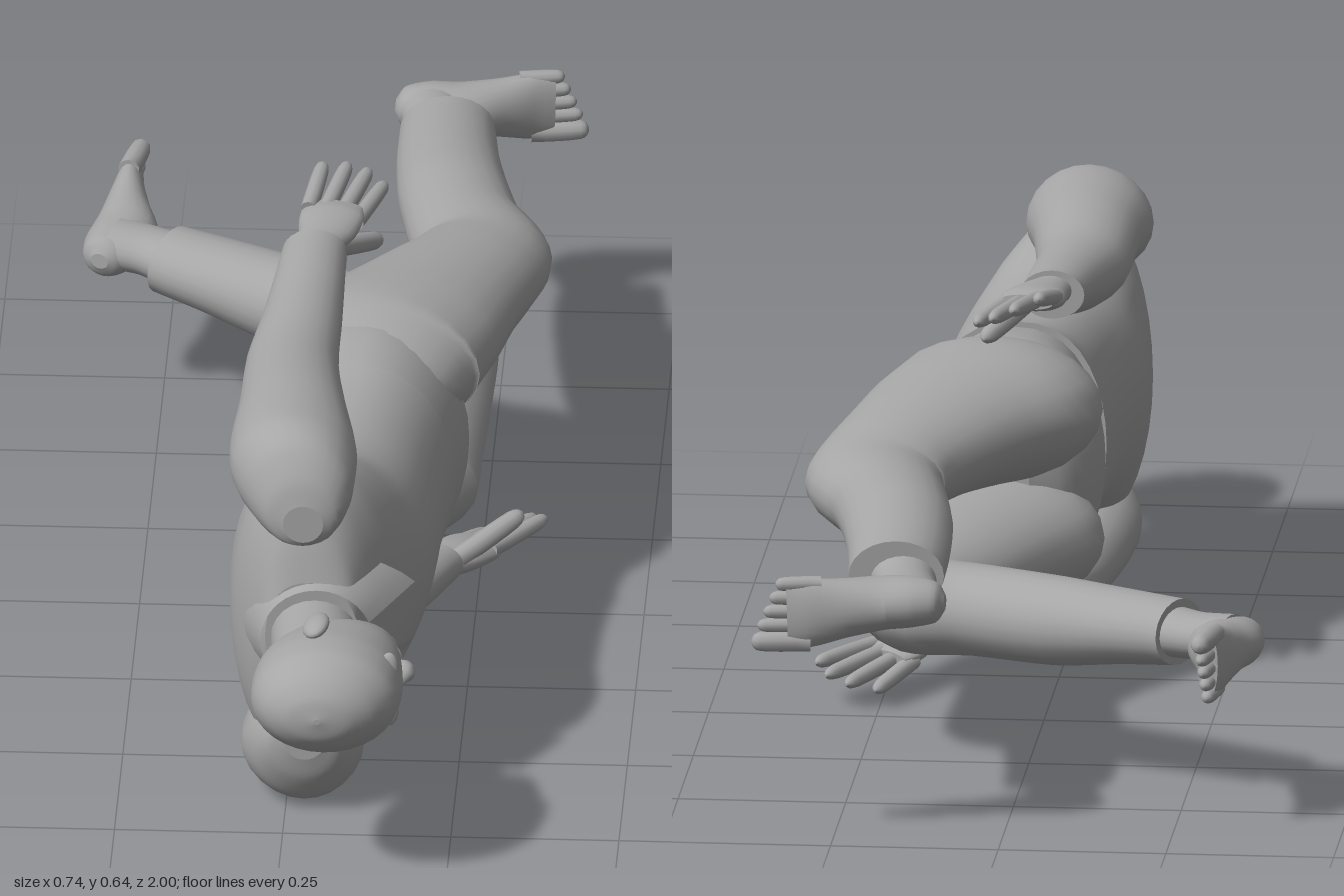
import * as THREE from 'three';

const grey = new THREE.MeshStandardMaterial({ color: 0xa6a6a6 });
grey.name = 'plain grey';
const greyThin = grey.clone();
greyThin.name = 'plain grey thin';
greyThin.side = THREE.DoubleSide;

const MID = 0.308; // height of the body's centre plane
const UP = new THREE.Vector3(0, 0, 1); // towards the head
const DOWN = new THREE.Vector3(0, 0, -1); // towards the feet

// Skin over elliptical sections [x, y, z, half width along y, half depth];
// sections face along the path, or along axis when it is given;
// flat below 1 squares off the half behind the body
function sweep(name, sections, steps = 4, sides = 24, axis = null, flat = 1) {
  const path = new THREE.CatmullRomCurve3(sections.map(s => new THREE.Vector3(s[0], s[1], s[2])));
  const size = new THREE.CatmullRomCurve3(sections.map(s => new THREE.Vector3(s[3], s[4], 0)));
  path.curveType = size.curveType = 'catmullrom';
  path.tension = size.tension = 0.4;
  const n = (sections.length - 1) * steps;
  const pos = [], idx = [];
  const ring = u => {
    const c = path.getPoint(u), r = size.getPoint(u), t = axis || path.getTangent(u);
    const l = new THREE.Vector3(0, 1, 0).addScaledVector(t, -t.y).normalize();
    const b = new THREE.Vector3().crossVectors(t, l);
    for (let j = 0; j < sides; j++) {
      const a = j / sides * Math.PI * 2, s = Math.sin(a);
      const p = c.clone()
        .addScaledVector(l, Math.cos(a) * Math.max(r.x, 0.002))
        .addScaledVector(b, (s > 0 ? s ** flat : s) * Math.max(r.y, 0.002));
      pos.push(p.x, p.y, p.z);
    }
    return c;
  };
  for (let i = 0; i <= n; i++) ring(i / n);
  for (let i = 0; i < n; i++) for (let j = 0; j < sides; j++) {
    const k = (j + 1) % sides, a = i * sides, b = a + sides;
    idx.push(a + j, a + k, b + k, a + j, b + k, b + j);
  }
  // Separate end caps keep the cuffs and hems crisp
  for (const u of [0, 1]) {
    const base = pos.length / 3;
    const c = ring(u), mid = pos.length / 3;
    pos.push(c.x, c.y, c.z);
    for (let j = 0; j < sides; j++) {
      const k = (j + 1) % sides;
      if (u) idx.push(mid, base + j, base + k);
      else idx.push(mid, base + k, base + j);
    }
  }
  const g = new THREE.BufferGeometry();
  g.setAttribute('position', new THREE.Float32BufferAttribute(pos, 3));
  g.setIndex(idx);
  g.computeVertexNormals();
  const m = new THREE.Mesh(g, grey);
  m.name = name;
  return m;
}

// Tapered finger or toe with a rounded tip
function digit(name, from, to, r) {
  const at = (t, k) => [0, 1, 2].map(i => from[i] + (to[i] - from[i]) * t).concat([r * k, r * k]);
  return sweep(name, [at(0, 1), at(0.5, 1), at(0.85, 0.9), at(0.96, 0.6), at(1, 0.1)], 2, 10);
}

function ball(name, x, y, z, sx, sy, sz) {
  const m = new THREE.Mesh(new THREE.SphereGeometry(1, 18, 12), grey);
  m.name = name;
  m.position.set(x, y, z);
  m.scale.set(sx, sy, sz);
  return m;
}

// Hand: fingers along local x, thumb on local +z, palm faces -y * side
function hand(name, wrist, angle, side) {
  const g = new THREE.Group();
  g.name = name;
  g.add(sweep('palm', [[-0.04, 0, 0, 0.025, 0.03], [0.01, 0, 0, 0.023, 0.031],
    [0.06, 0.004 * side, 0.003, 0.022, 0.044], [0.1, 0.01 * side, 0, 0.018, 0.048],
    [0.128, 0.012 * side, 0, 0.011, 0.041]]));
  for (let i = 0; i < 4; i++) {
    const z = -0.036 + i * 0.024;
    const length = [0.207, 0.24, 0.252, 0.237][i];
    g.add(digit('finger', [0.1, (0.01 - z * 0.2) * side, z], [length, (0.022 - z * 0.5) * side, z * 1.2], 0.0125));
  }
  g.add(digit('thumb', [0.03, -0.006 * side, 0.022], [0.15, -0.045 * side, 0.06], 0.0155));
  g.position.set(...wrist);
  g.rotation.y = angle;
  return g;
}

// Foot: toes along local x, instep on local +z, big toe on -y * side
function foot(name, heel, angle, side) {
  const g = new THREE.Group();
  g.name = name;
  g.add(sweep('sole', [[-0.01, 0, 0.008, 0.012, 0.014], [0.003, 0, 0.01, 0.03, 0.033],
    [0.04, 0, 0.014, 0.038, 0.046], [0.085, -0.003 * side, 0.018, 0.04, 0.05],
    [0.14, -0.007 * side, 0.003, 0.045, 0.036], [0.19, -0.011 * side, -0.009, 0.053, 0.024],
    [0.225, -0.012 * side, -0.013, 0.051, 0.015]]));
  for (let i = 0; i < 5; i++) {
    const y = (-0.05 + i * 0.021 - (i ? 0 : 0.004)) * side;
    const tip = 0.277 - i * 0.009;
    g.add(digit('toe', [0.19 - i * 0.004, y, -0.01], [tip, y, -0.016], i ? 0.0115 : 0.0165));
  }
  g.position.set(...heel);
  g.rotation.y = angle;
  return g;
}

function createHead() {
  const g = new THREE.Group();
  g.name = 'head';
  g.add(sweep('skull', [[0.125, MID, 0.735, 0.02, 0.03], [0.104, MID, 0.745, 0.045, 0.064],
    [0.086, MID, 0.785, 0.066, 0.092], [0.076, MID, 0.83, 0.077, 0.107],
    [0.073, MID, 0.88, 0.085, 0.112], [0.07, MID, 0.93, 0.082, 0.107],
    [0.066, MID, 0.968, 0.06, 0.082], [0.064, MID, 0.989, 0.034, 0.048],
    [0.063, MID, 0.997, 0.004, 0.005]], 5, 32, UP));
  g.add(sweep('neck', [[0.035, MID, 0.62, 0.07, 0.07], [0.045, MID, 0.7, 0.062, 0.066],
    [0.055, MID, 0.8, 0.06, 0.068]], 4, 24, UP));
  g.add(sweep('nose', [[0.173, MID, 0.872, 0.007, 0.008], [0.181, MID, 0.838, 0.01, 0.014],
    [0.185, MID, 0.82, 0.017, 0.016], [0.175, MID, 0.808, 0.013, 0.009]], 3, 12));
  g.add(ball('upperLip', 0.167, MID, 0.789, 0.014, 0.026, 0.007));
  g.add(ball('lowerLip', 0.164, MID, 0.777, 0.014, 0.022, 0.007));
  g.add(ball('chin', 0.15, MID, 0.752, 0.022, 0.027, 0.018));
  for (const s of [-1, 1]) {
    g.add(ball('eye', 0.163, MID + s * 0.034, 0.859, 0.012, 0.015, 0.008));
    g.add(ball('brow', 0.165, MID + s * 0.034, 0.88, 0.014, 0.026, 0.008));
    const ear = ball('ear', 0.055, MID + s * 0.09, 0.855, 0.021, 0.012, 0.035);
    ear.rotation.z = s * 0.4;
    g.add(ear);
  }
  return g;
}

// Open shirt collar with pointed front corners
function createCollar() {
  const geo = new THREE.CylinderGeometry(0.084, 0.118, 0.075, 28, 3, true, Math.PI / 2 + 0.4, Math.PI * 2 - 0.8);
  geo.rotateX(Math.PI / 2);
  const p = geo.attributes.position;
  for (let i = 0; i < p.count; i++) {
    const x = p.getX(i), z = p.getZ(i);
    const low = (0.0375 - z) / 0.075;
    const front = Math.max(0, x / Math.hypot(x, p.getY(i))) ** 3 * low;
    p.setXYZ(i, x + front * 0.04, p.getY(i), z - front * 0.05);
  }
  geo.computeVertexNormals();
  const m = new THREE.Mesh(geo, greyThin);
  m.name = 'collar';
  m.position.set(0.05, MID, 0.69);
  return m;
}

export function createModel() {
  const model = new THREE.Group();
  model.name = 'recliningMan';
  model.add(createHead(), createCollar());

  // Shirt body, from hem to neckline
  model.add(sweep('shirt', [[0.088, MID, 0.185, 0.187, 0.142], [0.086, MID, 0.23, 0.18, 0.138],
    [0.08, MID, 0.3, 0.176, 0.138], [0.072, MID, 0.4, 0.178, 0.142], [0.061, MID, 0.48, 0.193, 0.147],
    [0.048, MID, 0.56, 0.23, 0.136], [0.038, MID, 0.62, 0.245, 0.12], [0.035, MID, 0.665, 0.22, 0.097],
    [0.038, MID, 0.695, 0.165, 0.078], [0.042, MID, 0.715, 0.09, 0.07]], 4, 36, UP, 0.75));

  // Sleeves and hands
  model.add(sweep('leftSleeve', [[0.028, 0.49, 0.706, 0.03, 0.03], [0.026, 0.503, 0.695, 0.056, 0.055],
    [0.02, 0.524, 0.665, 0.08, 0.078], [0.01, 0.538, 0.62, 0.084, 0.093], [0.006, 0.546, 0.56, 0.077, 0.094],
    [0, 0.555, 0.45, 0.064, 0.08], [-0.008, 0.552, 0.3, 0.056, 0.069], [0, 0.562, 0.18, 0.051, 0.06],
    [0.006, 0.577, 0.08, 0.043, 0.053], [0.01, 0.588, -0.005, 0.037, 0.048]], 4, 24, DOWN));
  model.add(sweep('rightSleeve', [[0.03, 0.13, 0.706, 0.03, 0.03], [0.029, 0.117, 0.695, 0.056, 0.055],
    [0.027, 0.096, 0.665, 0.08, 0.076], [0.023, 0.082, 0.62, 0.082, 0.09], [0.022, 0.074, 0.56, 0.073, 0.091],
    [0.022, 0.066, 0.45, 0.061, 0.079], [0.034, 0.069, 0.3, 0.054, 0.072], [0.082, 0.069, 0.18, 0.05, 0.064],
    [0.135, 0.071, 0.08, 0.043, 0.058], [0.18, 0.073, -0.005, 0.037, 0.051]], 4, 24, DOWN));
  model.add(hand('leftHand', [0.01, 0.594, 0.005], 1.35, 1));
  model.add(hand('rightHand', [0.186, 0.067, -0.008], 1.03, -1));

  // Trousers
  model.add(sweep('hips', [[0.1, MID, -0.05, 0.07, 0.06], [0.097, MID, -0.02, 0.14, 0.112],
    [0.093, MID + 0.003, 0.03, 0.186, 0.147], [0.09, MID, 0.09, 0.193, 0.151],
    [0.088, MID, 0.17, 0.182, 0.138], [0.088, MID, 0.23, 0.168, 0.125]], 4, 36, UP, 0.8));
  model.add(sweep('leftTrouserLeg', [[0.085, 0.385, 0.13, 0.07, 0.1], [0.09, 0.405, 0.06, 0.095, 0.145],
    [0.1, 0.413, -0.01, 0.106, 0.166], [0.142, 0.413, -0.1, 0.097, 0.149], [0.183, 0.41, -0.2, 0.085, 0.127],
    [0.222, 0.401, -0.3, 0.077, 0.11], [0.24, 0.393, -0.385, 0.068, 0.104], [0.209, 0.39, -0.49, 0.065, 0.088],
    [0.187, 0.389, -0.6, 0.063, 0.083], [0.173, 0.382, -0.72, 0.058, 0.077], [0.166, 0.375, -0.845, 0.054, 0.071]]));
  model.add(sweep('rightTrouserLeg', [[0.085, 0.235, 0.13, 0.07, 0.1], [0.088, 0.22, 0.06, 0.092, 0.142],
    [0.094, 0.215, -0.01, 0.101, 0.163], [0.118, 0.216, -0.12, 0.093, 0.142], [0.145, 0.218, -0.25, 0.084, 0.118],
    [0.166, 0.219, -0.37, 0.077, 0.098], [0.158, 0.222, -0.44, 0.072, 0.096], [0.08, 0.227, -0.475, 0.068, 0.078],
    [-0.05, 0.232, -0.546, 0.066, 0.074], [-0.15, 0.241, -0.602, 0.056, 0.068], [-0.238, 0.247, -0.65, 0.049, 0.063]]));

  // Ankles and bare feet
  model.add(sweep('leftAnkle', [[0.162, 0.372, -0.8, 0.042, 0.055], [0.15, 0.367, -0.87, 0.035, 0.046],
    [0.14, 0.363, -0.935, 0.036, 0.052]]));
  model.add(sweep('rightAnkle', [[-0.205, 0.246, -0.63, 0.04, 0.052], [-0.265, 0.248, -0.672, 0.035, 0.047],
    [-0.32, 0.25, -0.694, 0.036, 0.052]]));
  model.add(foot('leftFoot', [0.094, 0.362, -0.953], 0.08, 1));
  model.add(foot('rightFoot', [-0.347, 0.244, -0.655], 1.31, -1));
  return model;
}
